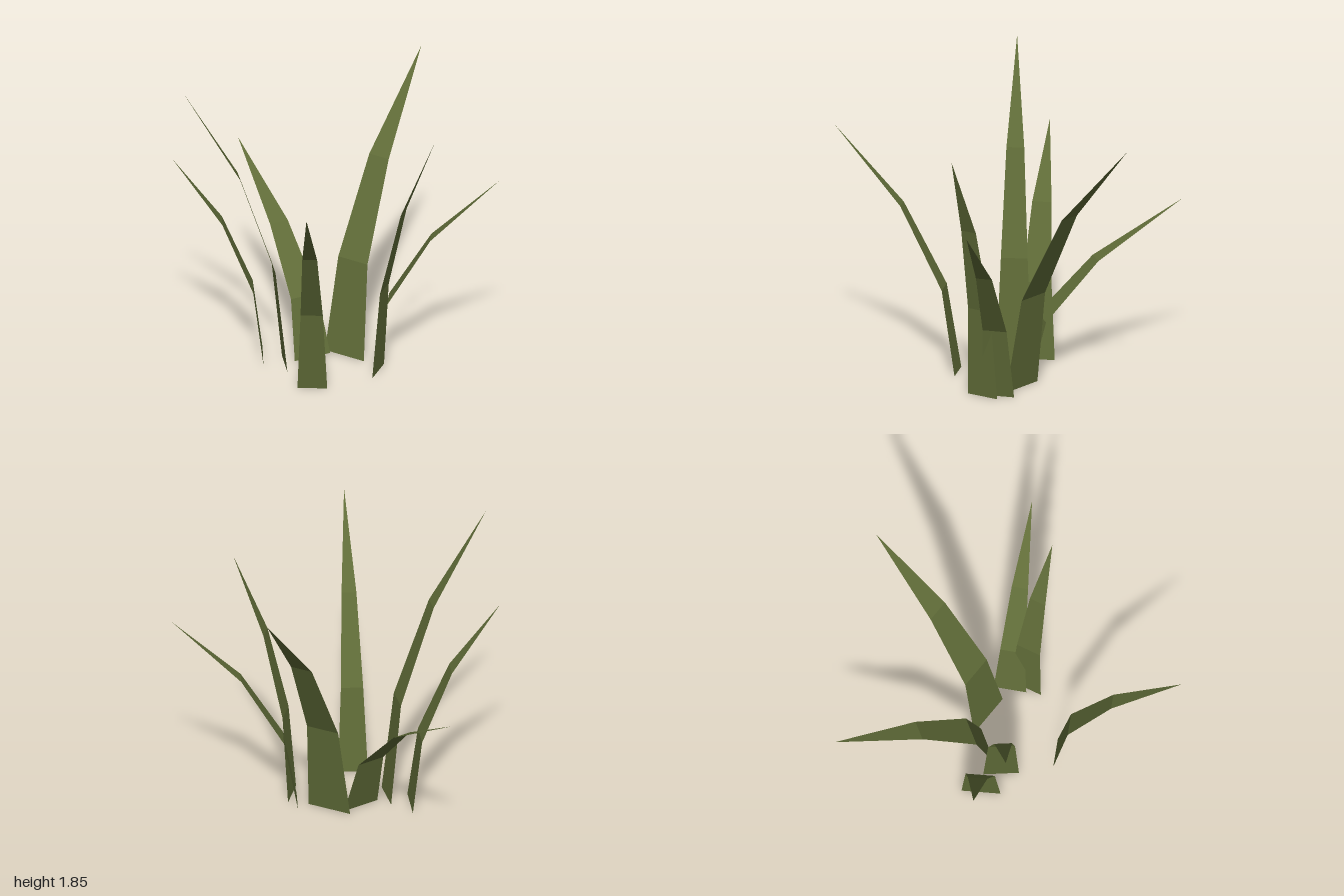
import * as THREE from 'three';

// base x, base z, base width, tip x, tip y, tip z
const BLADES = [
  [-0.045, 0.262, 0.175, 0.13, 1.49, 0.99],
  [0.02, -0.19, 0.27, 0.255, 1.68, -1.0],
  [-0.285, 0.015, 0.21, -0.835, 1.845, 0.27],
  [-0.437, -0.05, 0.23, -0.945, 1.31, 0.11],
  [-0.155, -0.12, 0.233, -0.815, 1.01, -0.825],
  [0.22, -0.135, 0.194, 0.94, 1.24, -0.29],
  [0.265, -0.055, 0.2, 0.62, 1.575, -0.03],
];

// shared bend of every blade: outward reach, height and width as fractions
const STEPS = [
  [0, 0, 1],
  [0.11, 0.35, 0.75],
  [0.45, 0.685, 0.5],
];

// flat ribbon bending outwards in three segments to a pointed tip
function bladeGeometry([bx, bz, width, tx, ty, tz]) {
  const dx = tx - bx, dz = tz - bz;
  const len = Math.hypot(dx, dz);
  const sx = (dz / len) * width / 2, sz = (-dx / len) * width / 2;
  const points = [];
  for (const [reach, height, w] of STEPS) {
    for (const side of [-1, 1]) {
      points.push(bx + dx * reach + side * sx * w, ty * height, bz + dz * reach + side * sz * w);
    }
  }
  points.push(tx, ty, tz);

  const index = [];
  for (let i = 0; i < 4; i += 2) {
    index.push(i, i + 2, i + 1, i + 1, i + 2, i + 3);
  }
  index.push(4, 6, 5);

  const indexed = new THREE.BufferGeometry();
  indexed.setAttribute('position', new THREE.Float32BufferAttribute(points, 3));
  indexed.setIndex(index);
  const geometry = indexed.toNonIndexed();
  geometry.computeVertexNormals();
  return geometry;
}

export function createModel() {
  const group = new THREE.Group();
  group.name = 'grassTuft';
  const olive = new THREE.MeshStandardMaterial({
    name: 'olive green', color: 0x606c38, side: THREE.DoubleSide, flatShading: true,
  });
  BLADES.forEach((spec, i) => {
    const blade = new THREE.Mesh(bladeGeometry(spec), olive);
    blade.name = `grassBlade${i + 1}`;
    group.add(blade);
  });
  return group;
}
